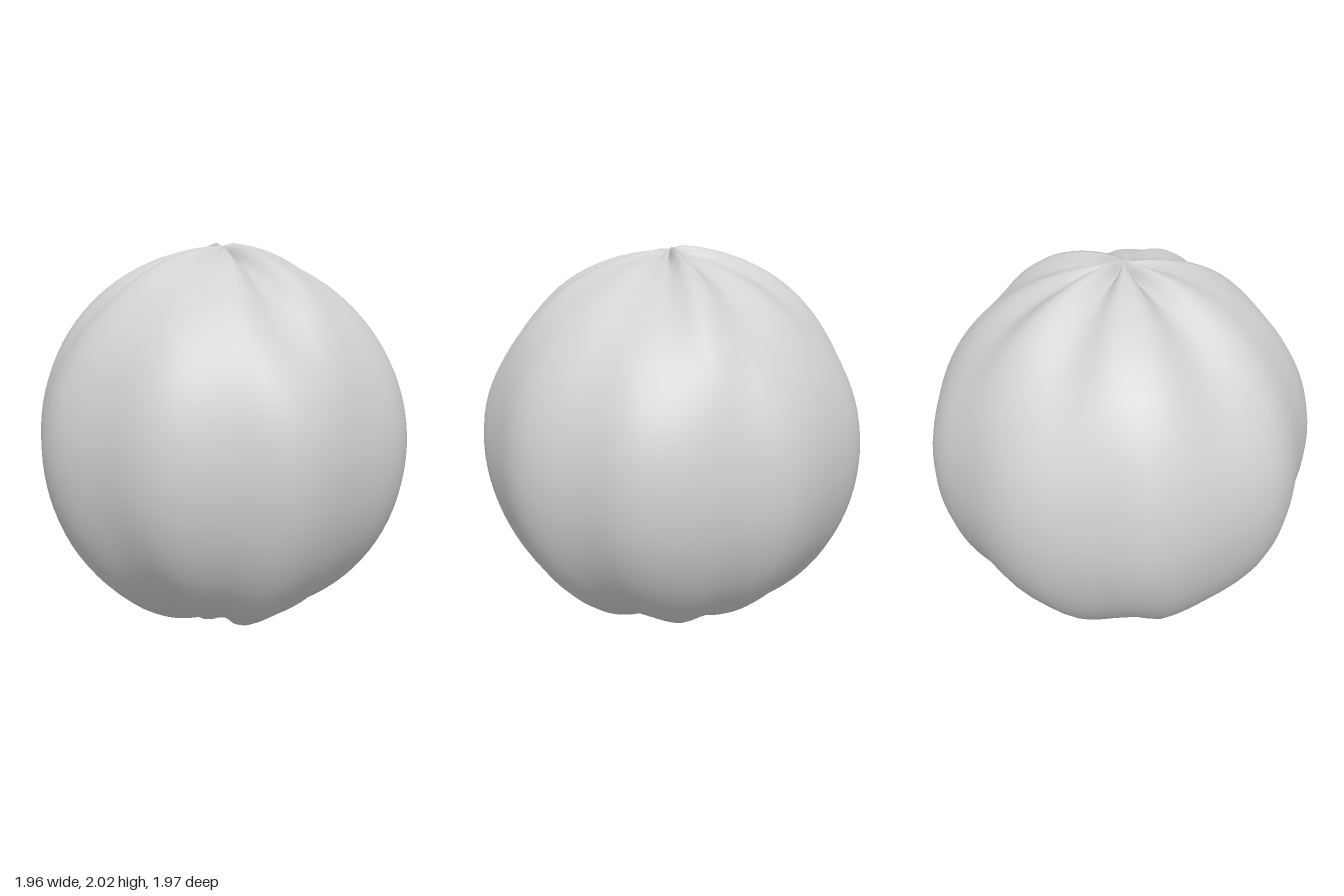
import * as THREE from 'three';
import { mergeVertices } from 'three/addons/utils/BufferGeometryUtils.js';

// Fold profiles: [angle in degrees from +x towards +z, radius]
const TOP = [[0, .968], [14, .97], [32, .99], [48, .91], [66, .985], [84, .97], [99, .967], [122, .988],
  [145, .92], [168, .985], [186, .99], [204, .945], [230, 1.01], [250, .95], [270, .978], [290, .95],
  [308, 1.01], [323, .945], [341, .938]];
const MIDDLE = [[6, .985], [28, .94], [52, .985], [69, .93], [90, .98], [109, .94], [130, .984], [150, .95],
  [174, .985], [187, .957], [212, .995], [232, .972], [250, 1.01], [268, .988], [290, 1.01], [303, .954],
  [332, 1], [348, .955]];
const BOTTOM = [[2, .985], [20, .965], [35, .985], [56, 1.01], [72, .96], [84, .975], [96, .955], [118, 1.005],
  [138, .99], [164, 1.005], [176, .965], [200, 1.01], [215, .985], [235, .965], [249, 1.015], [270, .97],
  [285, .982], [300, .96], [315, .985], [343, .945]];

// Smooth periodic interpolation between the knots of a profile
function sample(profile, angle) {
  const n = profile.length;
  for (let i = 0; i < n; i++) {
    const [a, ra] = profile[i];
    const [b, rb] = profile[(i + 1) % n];
    const span = (b - a + 360) % 360;
    const d = (angle - a + 360) % 360;
    if (d <= span) return THREE.MathUtils.lerp(ra, rb, THREE.MathUtils.smoothstep(d / span, 0, 1));
  }
  return 1;
}

export function createModel() {
  const group = new THREE.Group();
  const grey = new THREE.MeshStandardMaterial({ color: 0xd2d2d2 });
  grey.name = 'light grey';

  // Sphere whose radius follows the folds, gathered at both poles
  const sphere = new THREE.SphereGeometry(1, 72, 48);
  sphere.deleteAttribute('uv');
  sphere.deleteAttribute('normal');
  const geometry = mergeVertices(sphere, 1e-4);
  const pos = geometry.attributes.position;
  const v = new THREE.Vector3();
  for (let i = 0; i < pos.count; i++) {
    v.fromBufferAttribute(pos, i).normalize();
    const around = (THREE.MathUtils.radToDeg(Math.atan2(v.z, v.x)) + 360) % 360;
    const fromPole = THREE.MathUtils.radToDeg(Math.acos(Math.min(1, Math.abs(v.y))));
    const blend = THREE.MathUtils.smoothstep(fromPole, 28, 85);
    const end = sample(v.y > 0 ? TOP : BOTTOM, around);
    const r = fromPole < 1 ? .99 : THREE.MathUtils.lerp(end, sample(MIDDLE, around), blend);
    v.multiplyScalar(r);
    pos.setXYZ(i, v.x, v.y + 1, v.z);
  }
  geometry.computeVertexNormals();

  const body = new THREE.Mesh(geometry, grey);
  body.name = 'foldedBall';
  group.add(body);
  return group;
}
